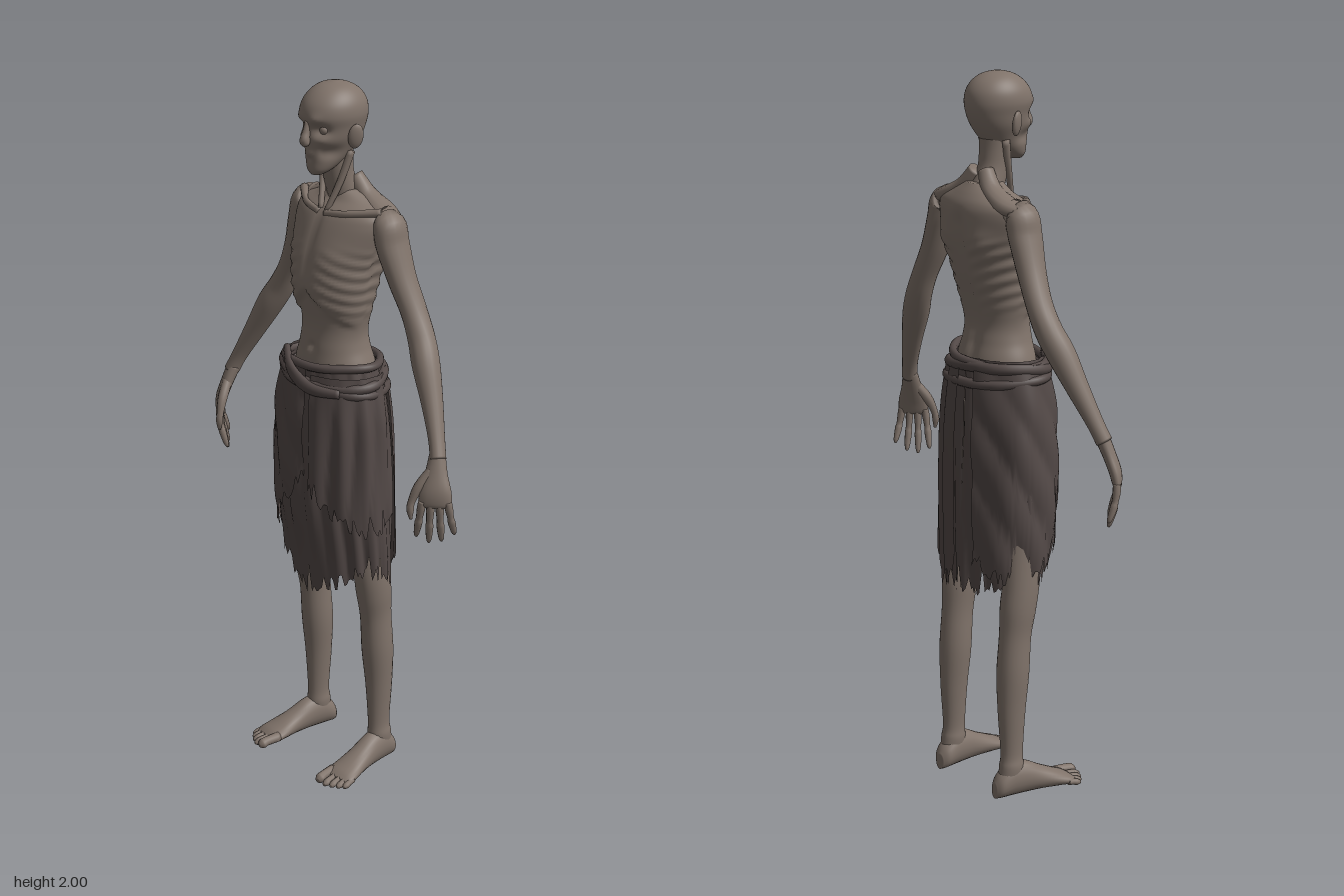
import * as THREE from 'three';

const skin = new THREE.MeshStandardMaterial({ color: 0x80736a });
skin.name = 'skin';
const cloth = new THREE.MeshStandardMaterial({ color: 0x534947, side: THREE.DoubleSide });
cloth.name = 'cloth';

const V = (x, y, z) => new THREE.Vector3(x, y, z);
const TAU = Math.PI * 2;

// Catmull-Rom refinement of rows of numbers, k steps per row
function smooth(rows, k) {
  const out = [];
  for (let i = 0; i < rows.length - 1; i++) {
    const [a, b, c, d] = [-1, 0, 1, 2].map(o => rows[Math.min(rows.length - 1, Math.max(0, i + o))]);
    for (let s = 0; s < k; s++) {
      const t = s / k;
      out.push(b.map((_, j) => 0.5 * (2 * b[j] + (c[j] - a[j]) * t + (2 * a[j] - 5 * b[j] + 4 * c[j] - d[j]) * t * t
        + (3 * b[j] - a[j] - 3 * c[j] + d[j]) * t * t * t)));
    }
  }
  out.push(rows[rows.length - 1]);
  return out;
}

function build(points, index) {
  const g = new THREE.BufferGeometry().setFromPoints(points);
  g.setIndex(index);
  g.computeVertexNormals();
  return g;
}

// Closed skin over rings that turn counter-clockwise about the direction of travel
function loft(rings) {
  const n = rings[0].length, pts = rings.flat(), idx = [];
  for (let r = 0; r < rings.length - 1; r++) for (let j = 0; j < n; j++) {
    const a = r * n + j, b = r * n + (j + 1) % n;
    idx.push(a, b, b + n, a, b + n, a + n);
  }
  [0, rings.length - 1].forEach((r, end) => {
    const c = pts.length;
    pts.push(rings[r].reduce((s, p) => s.add(p), V(0, 0, 0)).divideScalar(n));
    for (let j = 0; j < n; j++) {
      const a = r * n + j, b = r * n + (j + 1) % n;
      end ? idx.push(c, a, b) : idx.push(c, b, a);
    }
  });
  return build(pts, idx);
}

// Horizontal sections [y, half width, z front, z back], with an optional sculpting rule
function stack(rows, k, n, sculpt = () => {}) {
  return loft(smooth(rows, k).map(([y, w, f, b]) => Array.from({ length: n }, (_, j) => {
    const a = j / n * TAU;
    const p = V(Math.sin(a) * w, y, (f + b) / 2 + Math.cos(a) * (f - b) / 2);
    sculpt(p);
    return p;
  })));
}

// Limb along rows [x, y, z, radius along ref, radius across]
function limb(rows, n = 14, k = 5, ref = V(1, 0, 0)) {
  const s = smooth(rows, k), c = s.map(r => V(r[0], r[1], r[2]));
  return loft(s.map((r, i) => {
    const T = c[Math.min(i + 1, c.length - 1)].clone().sub(c[Math.max(i - 1, 0)]).normalize();
    const N = ref.clone().addScaledVector(T, -T.dot(ref)).normalize(), B = T.clone().cross(N);
    return Array.from({ length: n }, (_, j) => c[i].clone()
      .addScaledVector(N, Math.cos(j / n * TAU) * r[3]).addScaledVector(B, Math.sin(j / n * TAU) * r[4]));
  }));
}

function mirrored(geo) {
  const g = geo.clone().scale(-1, 1, 1), ix = g.index.array;
  for (let i = 0; i < ix.length; i += 3) [ix[i], ix[i + 1]] = [ix[i + 1], ix[i]];
  return g;
}

const bump = (p, x, y, s) => Math.exp(-((Math.abs(p.x) - x) ** 2 + (p.y - y) ** 2) / (s * s));
const step = THREE.MathUtils.smoothstep;

// Ribs, hollow belly, chest, spine groove and shoulder blades
function sculptTorso(p) {
  const ax = Math.abs(p.x), y = p.y;
  if (p.z > -0.03) {
    const f = step(p.z, -0.03, 0.03);
    p.z += f * (0.007 * bump(p, 0.075, 1.54, 0.045) - 0.006 * Math.exp(-((p.x / 0.012) ** 2)) * step(y, 1.42, 1.48));
    p.z -= f * 0.014 * step(1.45 - y - ax * 0.95, -0.012, 0.015) * step(y, 1.27, 1.38);
    p.z -= 0.01 * bump(p, 0, 1.285, 0.012);
  } else {
    p.z += 0.013 * Math.exp(-((p.x / 0.02) ** 2)) * step(y, 1.2, 1.28) * (1 - step(y, 1.6, 1.66));
    p.z -= 0.012 * bump(p, 0.08, 1.555, 0.04);
  }
  const mask = step(y, 1.35, 1.4) * (1 - step(y, 1.53, 1.59)) * step(ax, 0.025, 0.06);
  const rib = 1 + 0.022 * mask * Math.sin((y + ax * 0.45 * Math.sign(p.z + 0.02)) * 175);
  p.x *= rib;
  p.z = -0.02 + (p.z + 0.02) * rib;
}

// Eye sockets, brow, hollow cheeks, cheekbones and mouth
function sculptHead(p) {
  if (p.z < 0) return;
  const f = step(p.z, 0, 0.05);
  p.z += f * (0.006 * bump(p, 0.03, 1.913, 0.016) - 0.02 * bump(p, 0.034, 1.886, 0.017)
    + 0.008 * bump(p, 0.045, 1.86, 0.016) - 0.006 * bump(p, 0, 1.807, 0.008) + 0.005 * bump(p, 0, 1.82, 0.014));
  p.x *= 1 - f * 0.16 * Math.exp(-(((p.y - 1.825) / 0.018) ** 2)) * step(Math.abs(p.x), 0.02, 0.04);
}

// Small seeded random source
let seed = 7;
const rnd = () => (seed = (seed * 16807) % 2147483647) / 2147483647;

// Skirt body rows [y, half width, z front, z back], top to bottom
const skirtRows = smooth([[1.26, 0.14, 0.09, -0.11], [1.18, 0.158, 0.102, -0.122], [1.08, 0.175, 0.112, -0.13],
  [0.95, 0.184, 0.117, -0.135], [0.82, 0.188, 0.115, -0.137], [0.68, 0.186, 0.095, -0.137], [0.52, 0.18, 0.08, -0.137]], 6);
function skirtPoint(a, y, out) {
  let i = 0;
  while (i < skirtRows.length - 2 && skirtRows[i + 1][0] > y) i++;
  const [p, q] = [skirtRows[i], skirtRows[i + 1]], t = (p[0] - y) / (p[0] - q[0]);
  const [w, f, b] = [1, 2, 3].map(j => p[j] + (q[j] - p[j]) * t);
  return V(-0.006 + Math.sin(a) * (w + out), y, (f + b) / 2 + Math.cos(a) * ((f - b) / 2 + out));
}

// Ragged panel between two angles (0 is the front, + is the left), with evenly spaced hem heights
function panel(a0, a1, top, hems, lift, folds, slant) {
  const cols = Math.round((a1 - a0) / 2.5), rows = 22, pts = [], idx = [];
  for (let i = 0; i <= cols; i++) {
    const u = i / cols, a = (a0 + (a1 - a0) * u) * Math.PI / 180;
    const h = u * (hems.length - 1), k = Math.min(Math.floor(h), hems.length - 2);
    const tear = (i % 7 === 3 ? 0.06 : 0) * rnd() + 0.045 * rnd() ** 2;
    const hem = hems[k] + (hems[k + 1] - hems[k]) * (h - k) + tear;
    for (let r = 0; r <= rows; r++) {
      const t = r / rows, y = top + (hem - top) * t;
      const wave = Math.abs(Math.sin(a * folds + y * slant)) - 0.6 + 0.4 * Math.sin(a * folds * 1.7 - y * slant * 0.6);
      pts.push(skirtPoint(a, y, lift + 0.009 * wave * Math.min(1, 0.3 + t * 2)));
      if (i && r) {
        const q = i * (rows + 1) + r, p = q - rows - 1;
        idx.push(p - 1, p, q, p - 1, q, q - 1);
      }
    }
  }
  return build(pts, idx);
}

export function createModel() {
  const model = new THREE.Group();
  const add = (name, geo, mat = skin) => {
    const m = new THREE.Mesh(geo, mat);
    m.name = name;
    model.add(m);
    return m;
  };
  const pair = (name, geo, shift = 0) => {
    add(name + 'Left', geo).position.x = shift;
    add(name + 'Right', mirrored(geo)).position.x = shift;
  };

  // Torso, neck and head
  add('torso', stack([[1.12, 0.13, 0.09, -0.115], [1.22, 0.125, 0.085, -0.108], [1.28, 0.106, 0.078, -0.096],
    [1.33, 0.101, 0.08, -0.092], [1.4, 0.115, 0.094, -0.108], [1.46, 0.125, 0.104, -0.126], [1.52, 0.135, 0.094, -0.138],
    [1.58, 0.15, 0.076, -0.146], [1.63, 0.16, 0.055, -0.146], [1.66, 0.15, 0.036, -0.138], [1.685, 0.1, 0.008, -0.122],
    [1.71, 0.05, -0.005, -0.1]], 8, 72, sculptTorso));
  add('neck', stack([[1.64, 0.05, 0.01, -0.11], [1.68, 0.044, 0.004, -0.1], [1.74, 0.04, 0.02, -0.068],
    [1.79, 0.042, 0.03, -0.06], [1.84, 0.045, 0.03, -0.06]], 5, 24));
  add('head', stack([[1.762, 0.016, 0.07, 0.035], [1.775, 0.032, 0.078, 0.005], [1.8, 0.046, 0.08, -0.035],
    [1.83, 0.057, 0.082, -0.066], [1.86, 0.069, 0.085, -0.086], [1.89, 0.076, 0.087, -0.098], [1.92, 0.082, 0.092, -0.102],
    [1.95, 0.078, 0.083, -0.096], [1.975, 0.063, 0.062, -0.078], [1.992, 0.04, 0.034, -0.05], [2, 0.008, 0, -0.016]], 7, 64, sculptHead));
  add('nose', limb([[0, 1.908, 0.086, 0.007, 0.007], [0, 1.88, 0.09, 0.009, 0.011], [0, 1.86, 0.095, 0.013, 0.014],
    [0, 1.849, 0.092, 0.013, 0.011], [0, 1.844, 0.088, 0.005, 0.005]], 12));
  pair('eye', new THREE.SphereGeometry(0.013, 16, 12).translate(0.033, 1.886, 0.056));
  pair('ear', new THREE.SphereGeometry(1, 16, 12).scale(0.01, 0.034, 0.021).rotateY(-0.45).rotateZ(-0.15).translate(0.083, 1.868, -0.008));
  pair('neckTendon', limb([[0.052, 1.82, -0.02, 0.009, 0.012], [0.035, 1.74, 0.002, 0.009, 0.01], [0.012, 1.66, 0.03, 0.007, 0.008]], 10));
  pair('collarbone', limb([[0.012, 1.652, 0.036, 0.01, 0.009], [0.08, 1.662, 0.022, 0.01, 0.008], [0.155, 1.672, -0.035, 0.012, 0.012]], 10, 6, V(0, 1, 0)));
  pair('shoulderSlope', limb([[0.02, 1.74, -0.062, 0.022, 0.022], [0.06, 1.69, -0.072, 0.026, 0.03], [0.12, 1.662, -0.072, 0.025, 0.038],
    [0.17, 1.65, -0.06, 0.02, 0.03]], 14, 6, V(0, 1, 0)));

  // Arms and hands
  pair('arm', limb([[0.115, 1.635, -0.06, 0.03, 0.035], [0.16, 1.638, -0.056, 0.04, 0.048], [0.178, 1.585, -0.055, 0.037, 0.05],
    [0.21, 1.5, -0.06, 0.034, 0.042], [0.25, 1.42, -0.066, 0.032, 0.038], [0.285, 1.355, -0.062, 0.036, 0.038],
    [0.32, 1.295, -0.047, 0.037, 0.039], [0.365, 1.21, -0.028, 0.029, 0.031], [0.408, 1.125, -0.006, 0.021, 0.024],
    [0.43, 1.075, 0.008, 0.021, 0.023]], 20, 6));
  const across = V(-0.75, 0, 0.66), curl = V(-0.66, 0, -0.75);
  pair('palm', limb([[0.424, 1.09, 0.004, 0.021, 0.02], [0.437, 1.04, 0.02, 0.03, 0.018], [0.448, 0.995, 0.032, 0.042, 0.017],
    [0.452, 0.962, 0.036, 0.043, 0.013], [0.452, 0.952, 0.036, 0.034, 0.007]], 18, 5, across));
  [[0.034, 0.112, 0.05], [0.012, 0.128, 0.015], [-0.011, 0.122, -0.015], [-0.033, 0.1, -0.05]].forEach(([s, len, splay], i) => {
    const at = (t, r) => {
      const p = V(0.452, 0.968 - len * t, 0.036).addScaledVector(across, s + splay * t * 0.35).addScaledVector(curl, 0.022 * t * t);
      return [p.x, p.y, p.z, r, r];
    };
    pair(['index', 'middle', 'ring', 'little'][i] + 'Finger',
      limb([at(0, 0.011), at(0.2, 0.011), at(0.45, 0.009), at(0.6, 0.0105), at(0.9, 0.0075), at(1, 0.003)], 10, 4, across));
  });
  pair('thumb', limb([[0.428, 1.05, 0.025, 0.014, 0.014], [0.412, 1.005, 0.058, 0.014, 0.014], [0.403, 0.965, 0.075, 0.01, 0.01],
    [0.402, 0.94, 0.079, 0.01, 0.01], [0.404, 0.915, 0.078, 0.004, 0.004]], 10, 4));

  // Legs and feet, standing slightly off centre
  const off = -0.022;
  pair('leg', limb([[0.075, 1.12, -0.02, 0.06, 0.08], [0.105, 0.85, -0.02, 0.06, 0.07], [0.13, 0.64, -0.045, 0.047, 0.056],
    [0.132, 0.55, -0.058, 0.046, 0.053], [0.131, 0.47, -0.067, 0.041, 0.047], [0.131, 0.36, -0.075, 0.043, 0.047],
    [0.132, 0.25, -0.08, 0.035, 0.041], [0.133, 0.13, -0.08, 0.027, 0.034], [0.134, 0.085, -0.082, 0.031, 0.037],
    [0.134, 0.04, -0.088, 0.026, 0.036]], 22, 6), off);
  const place = g => g.rotateY(0.13).translate(0.145, 0, 0);
  const footRows = smooth([[-0.138, 0.014, 0.045], [-0.122, 0.029, 0.07], [-0.085, 0.033, 0.1], [-0.04, 0.034, 0.095],
    [0.01, 0.038, 0.07], [0.06, 0.046, 0.047], [0.09, 0.048, 0.034], [0.108, 0.042, 0.022]], 5);
  pair('foot', place(loft(footRows.map(([z, w, h]) => Array.from({ length: 20 }, (_, j) =>
    V(w * Math.cos(j / 20 * TAU), h / 2 * (1 + Math.sin(j / 20 * TAU)), z))))), off);
  [[-0.034, 0.147, 0.0145], [-0.01, 0.147, 0.01], [0.009, 0.14, 0.0095], [0.026, 0.131, 0.009], [0.041, 0.12, 0.009]].forEach(([x, z, r], i) =>
    pair('toe' + (i + 1), place(limb([[x, r + 0.006, 0.08, r, r], [x, r + 0.004, z - 0.025, r * 0.9, r], [x, r, z - 0.01, r, r],
      [x, r * 0.8, z, r * 0.5, r * 0.5]], 10, 4)), off));

  // Ragged skirt: full under layer, diagonal right wrap and short left tier
  add('skirt', panel(-180, 180, 1.24, [0.57, 0.58, 0.62, 0.6, 0.66, 0.6, 0.54, 0.58, 0.63, 0.62, 0.57, 0.55, 0.57], 0, 9, 3), cloth);
  add('skirtRightWrap', panel(-165, 8, 1.23, [0.66, 0.62, 0.64, 0.66, 0.7, 0.78, 0.92], 0.012, 4, 16), cloth);
  add('skirtLeftTier', panel(14, 112, 1.22, [0.88, 0.8, 0.76, 0.76, 0.82], 0.014, 8, -5), cloth);
  add('skirtBackDrape', panel(130, 175, 1.22, [0.66, 0.57, 0.62], 0.013, 10, 2), cloth);

  // Twisted waist rolls and tied end
  [[1.232, 0.012, 0.3, 0.012], [1.205, -0.016, 0.8, 0.016], [1.178, 0.012, 2.4, 0.014]].forEach(([y, tilt, phase, r], i) => {
    const path = Array.from({ length: 28 }, (_, j) => {
      const a = j / 28 * TAU;
      return skirtPoint(a, y + tilt * Math.sin(a + phase), 0.004 + 0.003 * Math.sin(a * 5 + i));
    });
    add('waistRoll' + (i + 1), new THREE.TubeGeometry(new THREE.CatmullRomCurve3(path, true), 96, r, 10, true), cloth);
  });
  add('waistFold', limb([[-0.12, 1.245, 0.06, 0.012, 0.01], [-0.04, 1.215, 0.112, 0.02, 0.012], [0.04, 1.185, 0.115, 0.018, 0.012],
    [0.12, 1.18, 0.08, 0.012, 0.01]], 12, 6, V(0, 1, 0)), cloth);
  return model;
}
